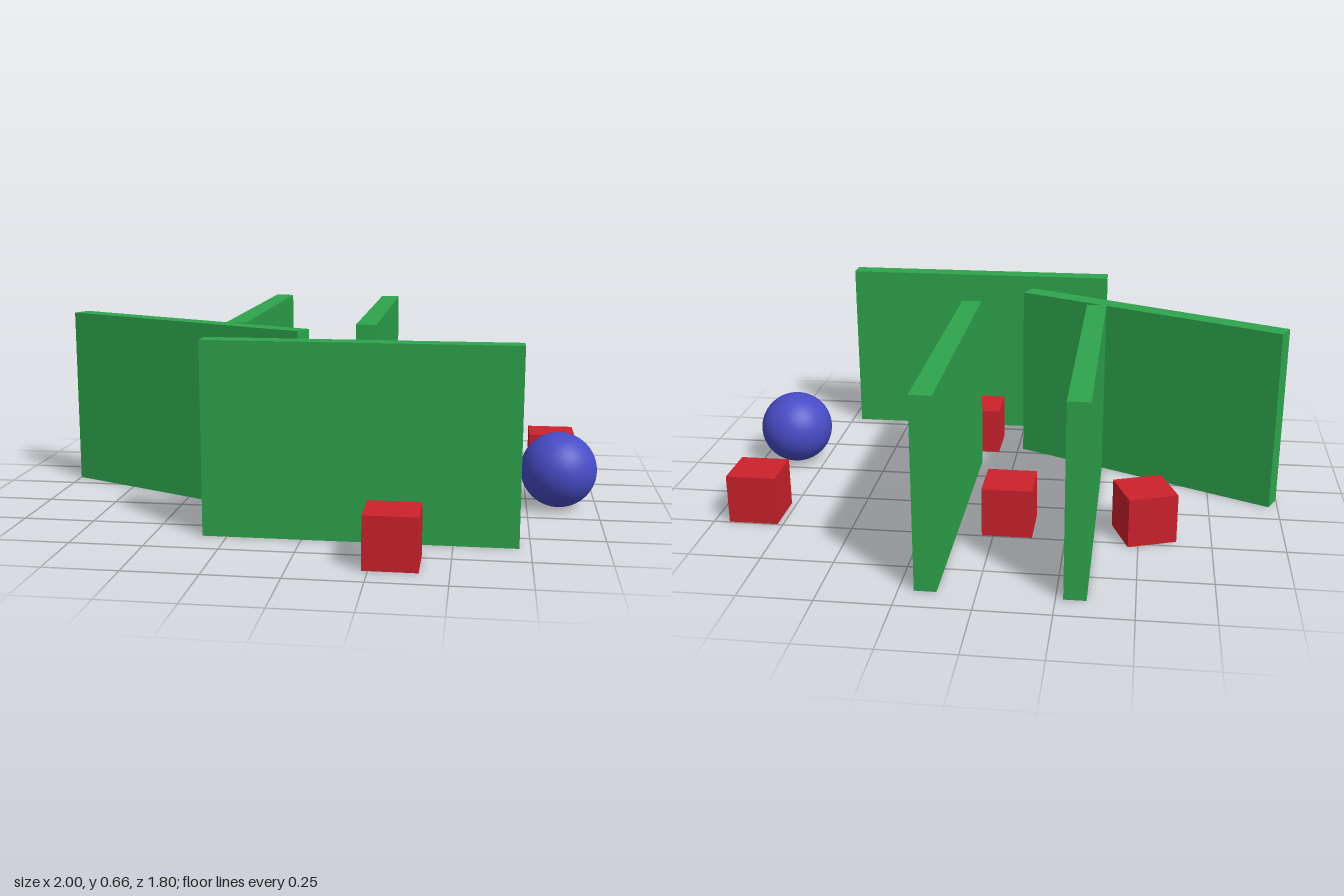
import * as THREE from 'three';

const WALL = { length: 1.047, height: 0.66, thickness: 0.073 };
const CUBE = 0.175;
const BALL = 0.136;

export function createModel() {
  const model = new THREE.Group();
  const green = new THREE.MeshStandardMaterial({ color: 0x2ea44c });
  const red = new THREE.MeshStandardMaterial({ color: 0xcc212c });
  const blue = new THREE.MeshStandardMaterial({ color: 0x484cc6 });
  green.name = 'wallGreen';
  red.name = 'cubeRed';
  blue.name = 'ballBlue';

  const add = (name, geometry, material, x, y, z, degrees = 0) => {
    const mesh = new THREE.Mesh(geometry, material);
    mesh.name = name;
    mesh.position.set(x, y, z);
    mesh.rotation.y = THREE.MathUtils.degToRad(degrees);
    model.add(mesh);
  };

  // Four identical standing walls: name, x, z, turn
  const wall = new THREE.BoxGeometry(WALL.length, WALL.height, WALL.thickness);
  for (const [name, x, z, turn] of [
    ['frontWall', 0.19, 0.579, 0],
    ['slantedWall', -0.51, 0.102, -25],
    ['backRightWall', -0.311, -0.379, 90],
    ['backLeftWall', 0.163, -0.379, 90],
  ]) add(name, wall, green, x, WALL.height / 2, z, turn);

  // Five cubes on the ground: name, x, z, turn
  const cube = new THREE.BoxGeometry(CUBE, CUBE, CUBE);
  for (const [name, x, z, turn] of [
    ['frontCube', 0.318, 0.812, 0],
    ['middleCube', 0.161, 0.334, 0],
    ['corridorCube', -0.048, -0.409, 0],
    ['outerCube', 0.857, -0.409, 0],
    ['turnedCube', -0.518, -0.415, 20],
  ]) add(name, cube, red, x, CUBE / 2, z, turn);

  // Ball
  add('ball', new THREE.SphereGeometry(BALL, 48, 32), blue, 0.861, 0.138, 0.088);

  return model;
}
